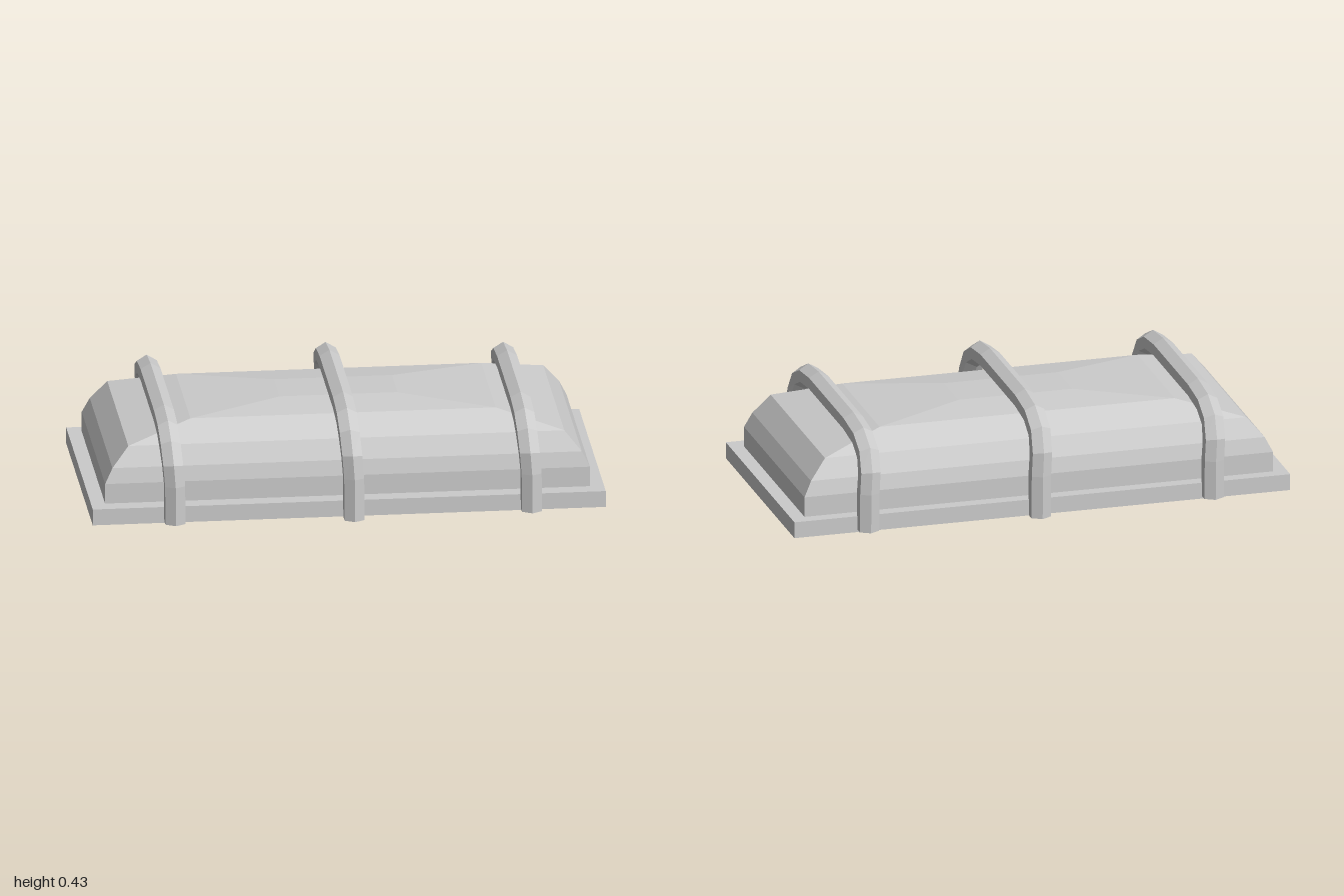
import * as THREE from 'three';

const material = new THREE.MeshStandardMaterial({ color: 0xcccccc, flatShading: true });

// Skins a list of equal-sized rings and caps both ends.
function loft(rings) {
  const pos = [];
  const tri = (...pts) => pts.forEach((p) => pos.push(p.x, p.y, p.z));
  const n = rings[0].length;
  for (let i = 0; i < rings.length - 1; i++) {
    for (let j = 0; j < n; j++) {
      const k = (j + 1) % n;
      const a = rings[i][j], b = rings[i][k], c = rings[i + 1][k], d = rings[i + 1][j];
      tri(a, b, c);
      tri(a, c, d);
    }
  }
  const first = rings[0], last = rings[rings.length - 1];
  for (let j = 1; j < n - 1; j++) {
    tri(first[0], first[j + 1], first[j]);
    tri(last[0], last[j], last[j + 1]);
  }
  const geometry = new THREE.BufferGeometry();
  geometry.setAttribute('position', new THREE.Float32BufferAttribute(pos, 3));
  geometry.computeVertexNormals();
  return geometry;
}

function addMesh(group, name, geometry) {
  const mesh = new THREE.Mesh(geometry, material);
  mesh.name = name;
  group.add(mesh);
  return mesh;
}

// Hexagonal bar swept over the lens, mitred at each bend.
function barGeometry(x, bottom, top) {
  const half = [[0.5, 0], [0.5, 0.17], [0.494, 0.255], [0.455, 0.327], [0.372, 0.371], [0.24, 0.387]];
  const full = [...half, ...half.slice().reverse().map(([z, y]) => [-z, y])];
  const path = full.map(([z, y]) => new THREE.Vector3(
    // the arch leans slightly sideways above its straight legs
    x + 0.015 * (1 - THREE.MathUtils.smoothstep(y, 0.12, 0.387)),
    bottom + (y / 0.387) * (top - bottom), z));
  const direction = (a, b) => new THREE.Vector3(0, b.y - a.y, b.z - a.z).normalize();
  const radius = 0.045;
  const rings = path.map((p, i) => {
    const before = direction(path[Math.max(i - 1, 0)], path[Math.max(i, 1)]);
    const after = direction(path[Math.min(i, path.length - 2)], path[Math.min(i + 1, path.length - 1)]);
    const t = before.clone().add(after).normalize();
    const outward = new THREE.Vector3(0, -t.z, t.y).multiplyScalar(radius / t.dot(before));
    return Array.from({ length: 6 }, (_, k) => {
      const angle = (k * Math.PI) / 3;
      const q = p.clone().addScaledVector(outward, Math.cos(angle));
      q.x += radius * Math.sin(angle);
      return q;
    });
  });
  return loft(rings);
}

export function createModel() {
  const group = new THREE.Group();
  group.name = 'cagedLamp';

  // Flat mounting plate
  const base = addMesh(group, 'basePlate', new THREE.BoxGeometry(2, 0.065, 0.96));
  base.position.set(0, 0.0325, -0.008);

  // Pillow-shaped lens: rectangles [half width, half depth, height]
  const levels = [
    [0.945, 0.423, 0.06], [0.945, 0.423, 0.145], [0.915, 0.41, 0.205],
    [0.85, 0.38, 0.283], [0.595, 0.26, 0.345], [0.23, 0.1, 0.365],
  ];
  const lens = addMesh(group, 'lens', loft(levels.map(([w, d, y]) =>
    [[w, d], [w, -d], [-w, -d], [-w, d]].map(([x, z]) => new THREE.Vector3(x, y, z)))));
  lens.position.z = -0.015;

  // Three guard bars, the outer two a little lower
  const bars = [['rightBar', -0.698, 0.01, 0.36], ['middleBar', 0, 0, 0.387], ['leftBar', 0.692, 0.01, 0.36]];
  for (const [name, x, bottom, top] of bars) addMesh(group, name, barGeometry(x, bottom, top));

  return group;
}
